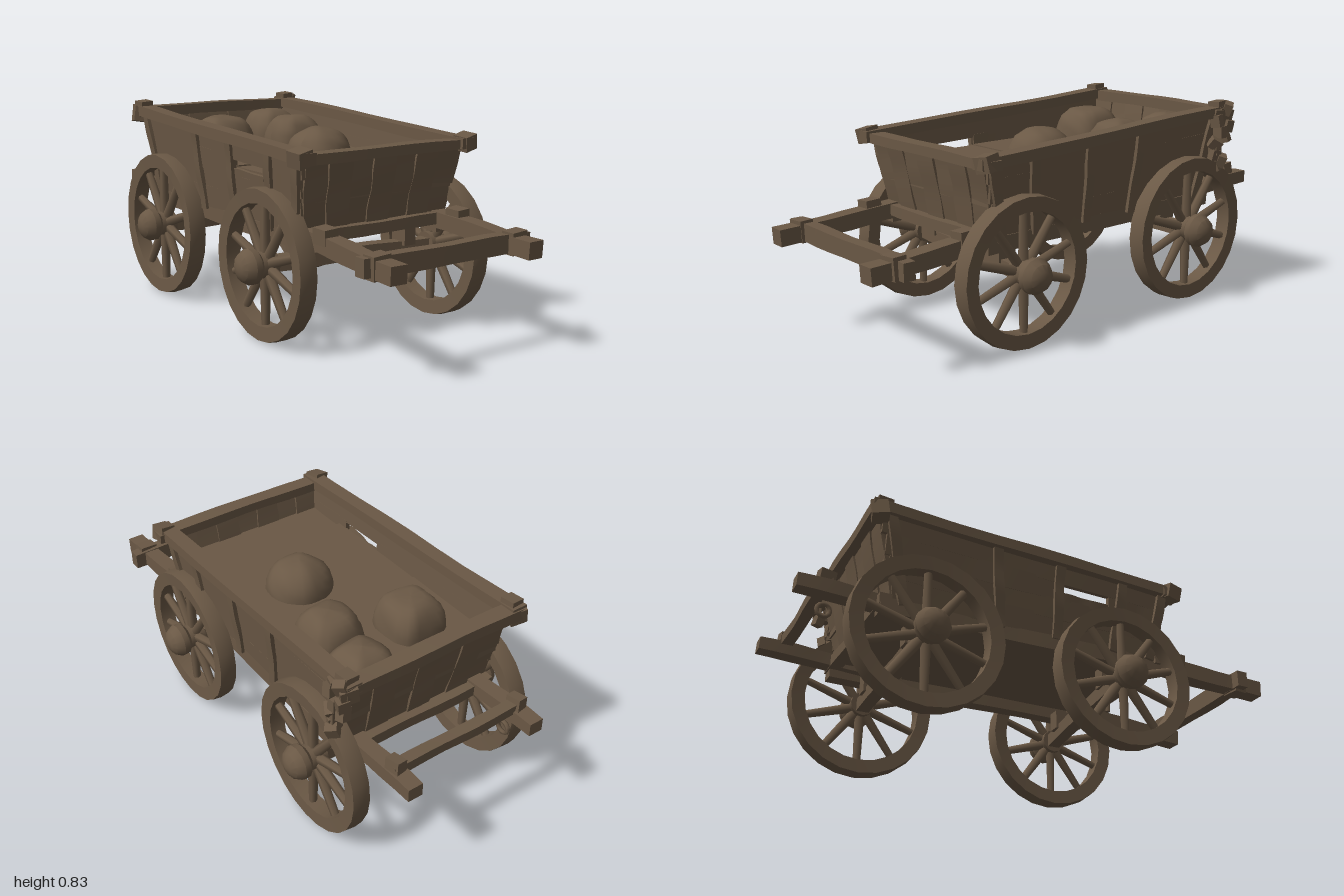
import * as THREE from 'three';
import { toCreasedNormals } from 'three/addons/utils/BufferGeometryUtils.js';

const wood = new THREE.MeshStandardMaterial({ color: 0x6a5845 });
wood.name = 'weathered brown';

let seed = 7;
const rand = () => (seed = (seed * 16807) % 2147483647) / 2147483647;
const V = (x, y, z) => new THREE.Vector3(x, y, z);

function add(parent, name, geometry) {
  const mesh = new THREE.Mesh(geometry, wood);
  mesh.name = name;
  parent.add(mesh);
  return mesh;
}

// Slightly crooked timber from a to b, w wide and h high (h follows "up")
function beam(parent, name, a, b, w, h, up = V(0, 1, 0), wobble = 0.002) {
  const len = a.distanceTo(b);
  const g = new THREE.BoxGeometry(w, h, len, 1, 1, 8);
  const p = g.attributes.position;
  const phase = rand() * 6;
  for (let i = 0; i < p.count; i++) {
    const t = p.getZ(i) / len;
    const swell = 1 + 0.04 * Math.sin(t * 13 + phase);
    p.setX(i, p.getX(i) * swell + wobble * Math.sin(t * 9 + phase));
    p.setY(i, p.getY(i) * swell + wobble * Math.cos(t * 7 + phase));
  }
  g.computeVertexNormals();
  const mesh = add(parent, name, g);
  mesh.up.copy(up);
  mesh.position.copy(a).add(b).multiplyScalar(0.5);
  mesh.lookAt(b);
  return mesh;
}

function block(parent, name, x, y, z, w, h, d, turn = 0) {
  const mesh = add(parent, name, new THREE.BoxGeometry(w, h, d));
  mesh.position.set(x, y, z);
  mesh.rotation.set(turn * 0.6, turn, turn * 0.8);
  return mesh;
}

// Lathe turned so that its axis is x
function turned(points, segments) {
  const g = new THREE.LatheGeometry(points.map(([r, y]) => new THREE.Vector2(r, y)), segments);
  g.rotateZ(-Math.PI / 2);
  return toCreasedNormals(g, 0.6);
}

// Spoked wheel whose outer hub faces local +x
function wheel(name, radius) {
  const group = new THREE.Group();
  group.name = name;
  const inner = radius - 0.06, t = 0.036;
  add(group, 'rim', turned([[radius - 0.004, -t], [radius, 0], [radius - 0.004, t], [inner, t * 0.9], [inner, -t * 0.9], [radius - 0.004, -t]], 24));
  add(group, 'hub', turned([[0, -0.036], [0.05, -0.036], [0.052, 0.035], [0.068, 0.05], [0.07, 0.075], [0.052, 0.105], [0.028, 0.118], [0, 0.124]], 12));
  for (let i = 0; i < 10; i++) {
    const a = (i / 10) * Math.PI * 2;
    const spoke = add(group, 'spoke', new THREE.CylinderGeometry(0.016, 0.021, inner - 0.02, 6));
    const mid = (inner + 0.05) / 2;
    spoke.position.set(0, Math.cos(a) * mid, Math.sin(a) * mid);
    spoke.rotation.x = a;
  }
  return group;
}

// Lumpy sack: an ellipsoid squared off in plan, half sunk in the bed
function sack(parent, x, y, z, w, h, square, turn) {
  const g = new THREE.SphereGeometry(1, 24, 16);
  const p = g.attributes.position;
  const shape = (v) => Math.sign(v) * Math.pow(Math.abs(v), square);
  for (let i = 0; i < p.count; i++) {
    const [px, py, pz] = [p.getX(i), p.getY(i), p.getZ(i)];
    const r = 1 + 0.03 * Math.sin(px * 7 + py * 5 + x * 30) * Math.cos(pz * 6 - py * 4);
    p.setXYZ(i, shape(px) * r * w / 2, py * r * h, shape(pz) * r * w / 2);
  }
  g.computeVertexNormals();
  const mesh = add(parent, 'sack', g);
  mesh.position.set(x, y, z);
  mesh.rotation.y = turn;
}

export function createModel() {
  const cart = new THREE.Group();
  cart.name = 'wooden cart';

  // Wheels and axles, the front pair set slightly askew
  for (const s of [1, -1]) {
    const label = s > 0 ? 'left' : 'right';
    const turn = s > 0 ? 0 : Math.PI;
    const front = wheel(label + 'FrontWheel', 0.294);
    front.position.set(s * 0.376, 0.299, 0.327 + s * 0.037);
    front.rotation.y = turn;
    const rear = wheel(label + 'RearWheel', 0.305);
    rear.position.set(s * 0.376, 0.312, -0.533);
    rear.rotation.y = turn;
    cart.add(front, rear);
  }
  beam(cart, 'frontAxle', V(-0.36, 0.3, 0.29), V(0.36, 0.3, 0.364), 0.055, 0.055);
  beam(cart, 'rearAxle', V(-0.36, 0.305, -0.533), V(0.36, 0.305, -0.533), 0.055, 0.055);

  // Chassis timbers, front arms and rear arms
  for (const s of [1, -1]) {
    beam(cart, 'chassisBeam', V(s * 0.31, 0.41, 0.5), V(s * 0.31, 0.41, -0.7), 0.06, 0.06);
    beam(cart, 'frontArm', V(s * 0.3, 0.435, 0.4), V(s * 0.312, 0.4, 0.995), 0.066, 0.064);
    beam(cart, 'rearArm', V(s * 0.28, 0.43, -0.4), V(s * 0.28, 0.456, -1), 0.064, 0.054);
    block(cart, 'armBracket', s * 0.31, 0.455, 0.585, 0.06, 0.06, 0.07, 0.06);
    block(cart, 'barCap', s * 0.315, 0.41, 0.885, 0.075, 0.085, 0.055, 0.06);
    block(cart, 'rearBarCap', s * 0.28, 0.495, -0.89, 0.045, 0.06, 0.06, 0.15);
    block(cart, 'frontAxleBlock', s * 0.24, 0.35, 0.327 + s * 0.024, 0.055, 0.08, 0.08);
    block(cart, 'rearAxleBlock', s * 0.24, 0.355, -0.533, 0.055, 0.08, 0.08);
  }
  beam(cart, 'frontCrossbar', V(-0.38, 0.41, 0.875), V(0.385, 0.405, 0.87), 0.05, 0.07);
  beam(cart, 'rearCrossbar', V(-0.3, 0.485, -0.89), V(0.3, 0.485, -0.89), 0.045, 0.04);
  beam(cart, 'frontSill', V(-0.35, 0.435, 0.49), V(0.35, 0.435, 0.49), 0.05, 0.045);
  beam(cart, 'rearSill', V(-0.34, 0.435, -0.68), V(0.34, 0.435, -0.68), 0.05, 0.045);
  const peg = add(cart, 'peg', new THREE.CylinderGeometry(0.012, 0.01, 0.11, 6));
  peg.position.set(-0.24, 0.265, 0.3);
  const ring = add(cart, 'hookRing', new THREE.TorusGeometry(0.025, 0.009, 6, 12));
  ring.position.set(-0.24, 0.39, -0.88);
  ring.rotation.y = Math.PI / 2;

  // Bed: a thick underside with wide boards laid across it in shallow steps
  block(cart, 'bedUnderside', 0, 0.46, -0.1, 0.64, 0.06, 1.1);
  const edges = [-0.695, -0.21, 0.04, 0.3, 0.5];
  const tops = [0.642, 0.637, 0.632, 0.617];
  tops.forEach((top, i) => block(cart, 'floorBoard', 0, top - 0.03, (edges[i] + edges[i + 1]) / 2, 0.69, 0.06, edges[i + 1] - edges[i]));

  // Side walls flare outwards; f runs from bottom 0 to top 1, t from front 0 to back 1
  const wall = (s, f, t, out = 0) => V(
    s * (0.328 + 0.034 * f + out),
    0.44 + f * (0.285 + 0.06 * t),
    THREE.MathUtils.lerp(0.465 + 0.06 * f, -0.65 - 0.075 * f, t));
  for (const s of [1, -1]) {
    const up = V(s * 0.1, 1, 0);
    for (let row = 0; row < 4; row++) {
      const f = (row + 0.5) / 4;
      const plank = (t0, t1, h, df = 0) => beam(cart, 'sidePlank', wall(s, f + df, t0), wall(s, f + df, t1), 0.02, h, up, 0.001);
      if (s < 0 && row === 2) {
        // broken plank leaves a slot
        plank(0, 0.21, 0.083);
        plank(0.21, 0.39, 0.035, -0.07);
        plank(0.39, 1, 0.088);
      } else plank(0, 1, 0.088);
    }
    for (const t of [0.02, 0.17, 0.4, 0.62, 0.97]) {
      beam(cart, 'sidePost', wall(s, -0.05, t, 0.012), wall(s, 1, t, 0.012), 0.025, 0.04, V(0, 0, 1));
    }
    beam(cart, 'sideRail', V(s * 0.373, 0.727, 0.57), V(s * 0.37, 0.79, -0.765), 0.064, 0.043);
  }

  // End walls of upright boards
  const boards = 7;
  for (let i = 0; i < boards; i++) {
    const k = (i - (boards - 1) / 2) / boards;
    const off = (i % 2) * 0.006;
    beam(cart, 'frontBoard', V(k * 0.66, 0.44, 0.465 + off), V(k * 0.71, 0.72, 0.52 + off), 0.104, 0.02, V(0, 0, 1));
    beam(cart, 'rearBoard', V(k * 0.66, 0.44, -0.65 - off), V(k * 0.71, 0.78, -0.72 - off), 0.104, 0.02, V(0, 0, 1));
  }
  beam(cart, 'frontRail', V(-0.41, 0.724, 0.525), V(0.42, 0.724, 0.525), 0.065, 0.038);
  beam(cart, 'rearRail', V(-0.4, 0.782, -0.735), V(0.4, 0.782, -0.735), 0.065, 0.045);

  // Corner pegs and lashings
  for (const s of [1, -1]) {
    block(cart, 'rearCornerPeg', s * 0.37, 0.8, -0.72, 0.055, 0.06, 0.06, 0.08);
    block(cart, 'frontLashing', s * 0.385, 0.73, 0.535, 0.065, 0.06, 0.065, 0.2);
    block(cart, 'rearLashing', s * 0.38, 0.77, -0.735, 0.065, 0.065, 0.065, -0.25);
  }
  // Ragged bundle hanging on the rear left corner
  for (let i = 0; i < 11; i++) {
    block(cart, 'raggedBundle', 0.375 + rand() * 0.04, 0.56 + i * 0.024, -0.65 - rand() * 0.1, 0.045, 0.05, 0.035, rand() * 2 - 1);
  }

  // Sacks
  sack(cart, -0.13, 0.64, -0.44, 0.245, 0.135, 0.6, 0.05);
  sack(cart, 0.2, 0.64, -0.58, 0.235, 0.135, 0.65, 0.1);
  sack(cart, 0.165, 0.64, -0.335, 0.235, 0.13, 0.65, -0.05);
  sack(cart, 0.065, 0.635, 0.01, 0.265, 0.125, 0.9, 0.3);

  return cart;
}
